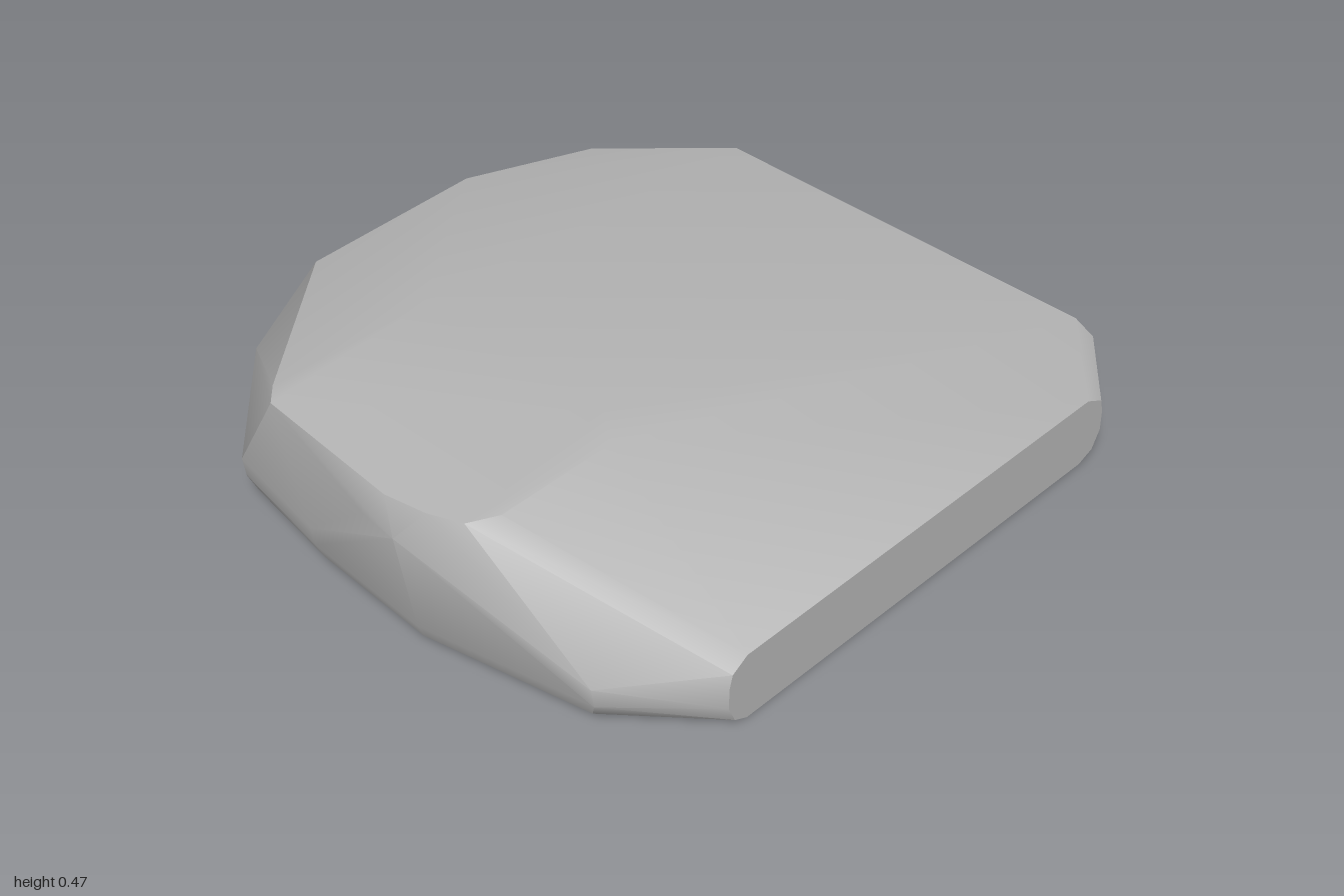
import * as THREE from 'three';
import { ConvexGeometry } from 'three/addons/geometries/ConvexGeometry.js';
import { toCreasedNormals } from 'three/addons/utils/BufferGeometryUtils.js';

export function createModel() {
  const group = new THREE.Group();
  const stone = new THREE.MeshStandardMaterial({ color: 0xb8b8b8 });
  const points = [];
  const ring = (y, list) => list.forEach(([x, z]) => points.push(new THREE.Vector3(x, y, z)));

  // Widest outline of the slab, with straight cut faces at +x and -z
  const outline = [
    [-0.57, -1], [-0.85, -0.71], [-0.92, -0.5], [-0.935, -0.3], [-0.935, 0.28],
    [-0.86, 0.53], [-0.53, 0.86], [-0.2, 0.92], [0.2, 0.95], [0.7, 0.86],
    [0.93, 0.64], [0.93, -0.8], [0.76, -1],
  ];
  // Shrinks the outline while keeping the two cut faces flat
  const inset = (d) => outline.map(([x, z]) => {
    const k = 1 - d;
    return [x > 0.9 ? x : x * k, z < -0.99 ? z : z * k];
  });
  ring(0.13, outline);
  ring(0.07, outline.map(([x, z]) => [x, z > 0.8 ? z - 0.01 : z]));
  ring(0.02, inset(0.035));
  ring(0, inset(0.1));

  // Upper rim of the cut faces and the rear corners
  ring(0.17, [[0.93, 0.63], [0.93, -0.79], [0.75, -1], [-0.56, -1]]);
  ring(0.2, [[0.93, 0.58], [0.93, -0.73], [0.69, -1], [-0.52, -1], [-0.82, -0.71]]);

  // Raised edge along the -x side
  ring(0.27, [[-0.89, -0.28], [-0.89, 0.28]]);

  // Overhanging front brow
  ring(0.38, [[0.2, 1], [0.08, 0.985]]);

  // Flat summit
  ring(0.47, [
    [-0.33, 0.4], [-0.35, 0.88], [-0.3, 0.93], [0.15, 0.975], [0.27, 0.955],
    [0.36, 0.92], [0.4, 0.84], [0.4, 0.48], [0.3, 0.4],
  ]);

  const rock = new THREE.Mesh(toCreasedNormals(new ConvexGeometry(points), 0.55), stone);
  rock.name = 'rockSlab';
  group.add(rock);
  return group;
}
